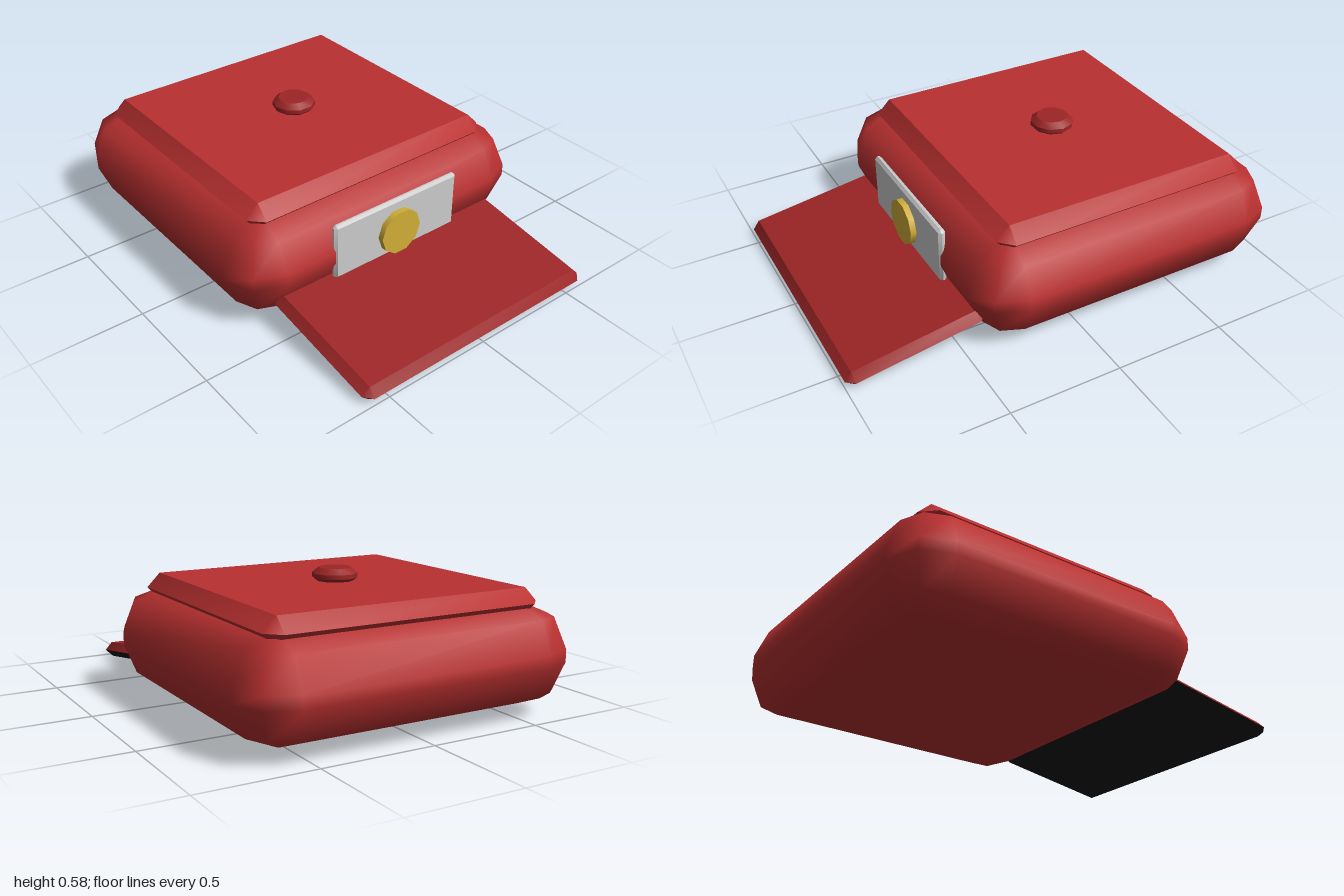
import * as THREE from 'three';
import { mergeVertices, toCreasedNormals } from 'three/addons/utils/BufferGeometryUtils.js';

const material = (name, color, extra = {}) => {
  const m = new THREE.MeshStandardMaterial({ color, ...extra });
  m.name = name;
  return m;
};

// Box with bevelled edges and corners, stacked from rings; group 0 is the lower half, group 1 the upper
function bevelBox(w, h, d, r, segments) {
  const pos = [], index = [], lats = [];
  const n = 4 * (segments + 1);
  for (let i = -segments; i <= 0; i++) lats.push([i, -1]);
  for (let i = 0; i <= segments; i++) lats.push([i, 1]);
  const step = Math.PI / 2 / segments;
  for (const [i, side] of lats) {
    const ringR = Math.abs(i) === segments ? 0 : r * Math.cos(i * step);
    const y = side * (h / 2 - r) + r * Math.sin(i * step);
    for (let c = 0; c < 4; c++) {
      const cx = (c === 0 || c === 3 ? 1 : -1) * (w / 2 - r);
      const cz = (c < 2 ? 1 : -1) * (d / 2 - r);
      for (let k = 0; k <= segments; k++) {
        const a = c * Math.PI / 2 + k * step;
        pos.push(cx + ringR * Math.cos(a), y, cz + ringR * Math.sin(a));
      }
    }
  }
  const top = (lats.length - 1) * n;
  for (let i = 1; i < n - 1; i++) index.push(0, i, i + 1);
  let split = 0;
  for (let j = 0; j < lats.length - 1; j++) {
    if (j === segments) split = index.length;
    for (let i = 0; i < n; i++) {
      const a = j * n + i, b = j * n + (i + 1) % n;
      index.push(a, a + n, b, b, a + n, b + n);
    }
  }
  for (let i = 1; i < n - 1; i++) index.push(top, top + i + 1, top + i);
  const g = new THREE.BufferGeometry();
  g.setAttribute('position', new THREE.Float32BufferAttribute(pos, 3));
  g.setIndex(index);
  g.addGroup(0, split, 0);
  g.addGroup(split, index.length - split, 1);
  return mergeVertices(g);
}

export function createModel() {
  const model = new THREE.Group();
  const red = material('red', 0xb93030);
  const darkRed = material('dark red', 0x9c2526);
  const black = material('black', 0x141414);
  const silver = material('silver', 0xcccccc);
  const gold = material('gold', 0xd2ae38);

  const add = (name, geometry, mat, x, y, z = 0) => {
    const mesh = new THREE.Mesh(geometry, mat);
    mesh.name = name;
    mesh.position.set(x, y, z);
    model.add(mesh);
    return mesh;
  };
  const creased = (...size) => toCreasedNormals(bevelBox(...size), 0.7);

  // Soft pouch body with smooth shading
  const body = bevelBox(1.455, 0.435, 1.515, 0.19, 2);
  body.clearGroups();
  body.computeVertexNormals();
  add('body', body, red, -0.2725, 0.2575);

  // Bevelled lid and its button
  const lid = creased(1.21, 0.12, 1.275, 0.06, 1);
  lid.clearGroups();
  add('lid', lid, red, -0.275, 0.475);
  const knob = new THREE.LatheGeometry([
    [0, 0], [0.075, 0], [0.097, 0.018], [0.097, 0.037], [0.07, 0.06], [0, 0.06],
  ].map(([x, y]) => new THREE.Vector2(x, y)), 10);
  add('knob', toCreasedNormals(knob, 0.7), darkRed, -0.275, 0.53);

  // Sloping flap: coloured top, black underside
  const flap = add('flap', creased(0.625, 0.07, 1.215, 0.035, 1), [black, darkRed], 0.688, 0.084);
  flap.rotation.z = -0.152;

  // Metal clasp plate and round badge on the side
  const plate = creased(0.032, 0.265, 0.67, 0.012, 1);
  plate.clearGroups();
  add('claspPlate', plate, silver, 0.444, 0.28);
  const badge = add('claspBadge', new THREE.CylinderGeometry(0.105, 0.105, 0.032, 10), gold, 0.471, 0.262);
  badge.rotation.z = -Math.PI / 2;

  return model;
}
